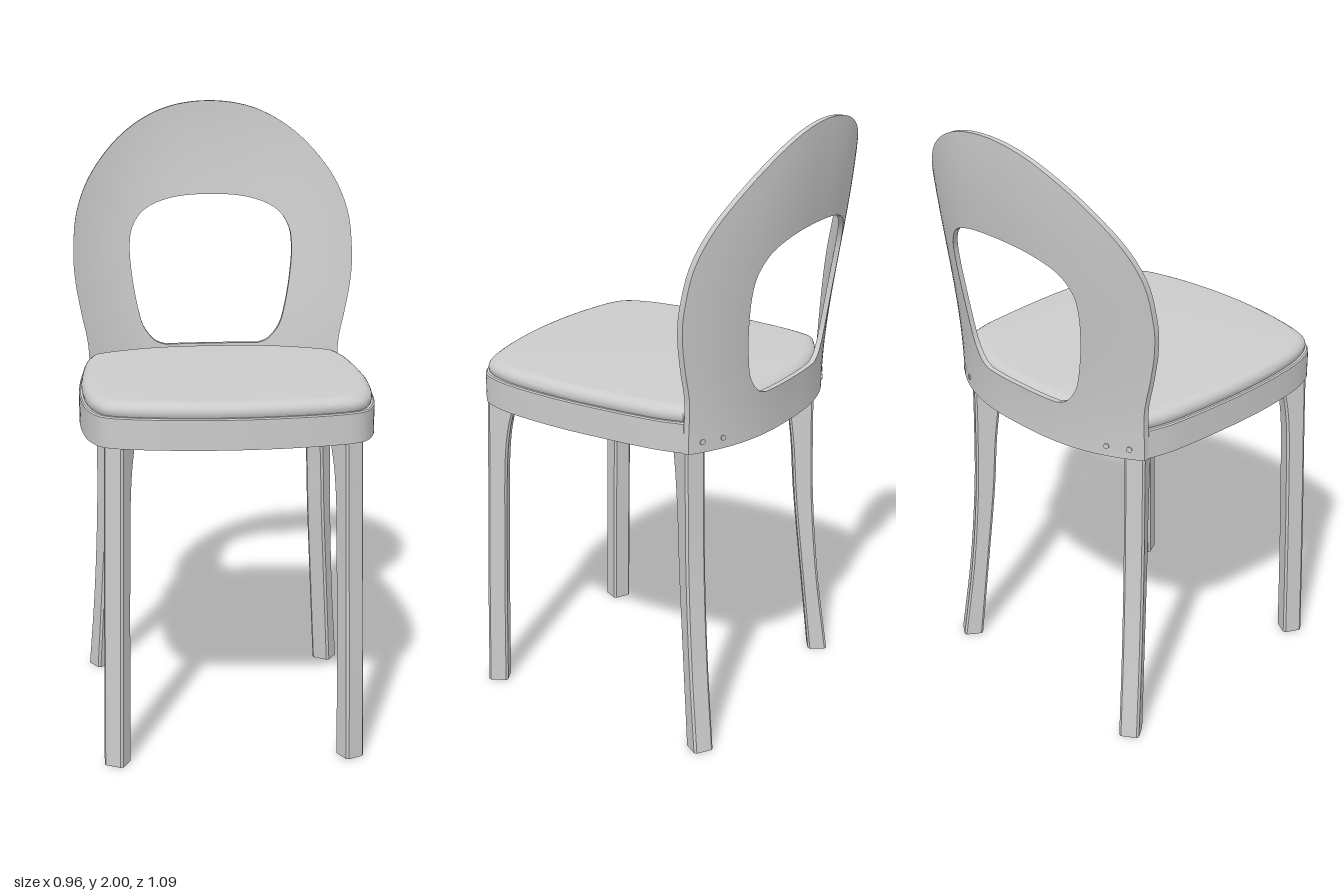
import * as THREE from 'three';
import { toCreasedNormals } from 'three/addons/utils/BufferGeometryUtils.js';

const grey = new THREE.MeshStandardMaterial({ color: 0xcccccc });
const V2 = (p) => new THREE.Vector2(p[0], p[1]);

// Skin a list of equal closed rings; either cap both ends or join last ring to first
function loft(rings, joinEnds, crease) {
  const n = rings[0].length, m = rings.length, pos = [], tris = [];
  rings.forEach((r) => r.forEach((p) => pos.push(p.x, p.y, p.z)));
  for (let i = 0; i < (joinEnds ? m : m - 1); i++) {
    for (let j = 0; j < n; j++) {
      const k = (j + 1) % n, a = i * n, b = ((i + 1) % m) * n;
      tris.push([a + j, b + j, b + k], [a + j, b + k, a + k]);
    }
  }
  if (!joinEnds) {
    [0, m - 1].forEach((i) => {
      const c = new THREE.Vector3();
      rings[i].forEach((p) => c.addScaledVector(p, 1 / n));
      const id = pos.length / 3;
      pos.push(c.x, c.y, c.z);
      for (let j = 0; j < n; j++) {
        const a = i * n + j, b = i * n + ((j + 1) % n);
        tris.push(i ? [a, id, b] : [a, b, id]);
      }
    });
  }
  // signed volume tells whether the faces point outward
  const at = (i) => new THREE.Vector3().fromArray(pos, i * 3);
  let volume = 0;
  tris.forEach(([a, b, c]) => { volume += at(a).dot(at(b).cross(at(c))); });
  if (volume < 0) tris.forEach((t) => t.reverse());
  const g = new THREE.BufferGeometry();
  g.setAttribute('position', new THREE.Float32BufferAttribute(pos, 3));
  g.setIndex(tris.flat());
  return toCreasedNormals(g, crease);
}

function add(group, name, geometry) {
  const mesh = new THREE.Mesh(geometry, grey);
  mesh.name = name;
  group.add(mesh);
  return mesh;
}

// Spline through a half profile and its mirror image, then straight back along the base
function mirroredLoop(half, base, nSide, nBase) {
  const other = half.slice(0, -1).reverse().map(([x, y]) => [-x, y]);
  const side = new THREE.SplineCurve([...half, ...other].map(V2)).getPoints(nSide);
  const x0 = half[0][0];
  for (let i = 1; i < nBase; i++) {
    const x = -x0 + (2 * x0 * i) / nBase;
    side.push(new THREE.Vector2(x, base(x)));
  }
  return side;
}

// Plan curve shared by the backrest and the rear of the seat
const wrap = (x) => 0.14 * Math.pow(Math.abs(x) / 0.46, 2.6);
const backZ = (x, y) => -0.437 - 0.108 * THREE.MathUtils.smoothstep(y, 1.02, 2) + wrap(x);

// Seat layer: plan outline inset at each level, tilted slightly up to the front
function seatLayer(levels) {
  const outline = mirroredLoop(
    [[0.43, -0.302], [0.453, -0.2], [0.467, 0], [0.469, 0.15], [0.458, 0.3], [0.437, 0.4],
      [0.395, 0.473], [0.3, 0.508], [0.15, 0.532], [0, 0.54]],
    (x) => -0.42 + wrap(x), 100, 36);
  return loft(levels.map(([inset, y]) => outline.map((p) => {
    const s = 1 - inset / 0.47;
    return new THREE.Vector3(p.x * s, y + 0.0156 * (p.y * s + 0.42), 0.05 + (p.y - 0.05) * s);
  })), false, 0.6);
}

// Curved shell between its outer outline and the opening
function backrest() {
  const outer = mirroredLoop(
    [[0.43, 1.02], [0.433, 1.18], [0.455, 1.3], [0.472, 1.4], [0.478, 1.5], [0.465, 1.64],
      [0.41, 1.77], [0.3, 1.895], [0.16, 1.975], [0, 2]],
    () => 1.02, 108, 28);
  const inner = mirroredLoop(
    [[0.16, 1.163], [0.2, 1.18], [0.238, 1.23], [0.258, 1.3], [0.275, 1.4], [0.283, 1.5],
      [0.272, 1.575], [0.225, 1.635], [0.13, 1.67], [0, 1.68]],
    () => 1.163, 108, 28);
  const steps = 8, rings = [];
  for (const front of [true, false]) {
    for (let k = 0; k <= steps; k++) {
      const t = front ? k / steps : 1 - k / steps;
      rings.push(outer.map((p, i) => {
        const q = inner[i].clone().lerp(p, t);
        return new THREE.Vector3(q.x, q.y, backZ(q.x, q.y) + (front ? 0.018 : 0));
      }));
    }
  }
  return loft(rings, true, 0.6);
}

// Leg: chamfered rectangle swept up a profile of [height, outer offset, inner offset]
function leg(x, z, dx, dz, profile) {
  const out = new THREE.Vector3(dx, 0, dz).normalize();
  const across = new THREE.Vector3(-out.z, 0, out.x);
  const w = 0.033, c = 0.007;
  const path = new THREE.CatmullRomCurve3(profile.map(([y, o, i]) => new THREE.Vector3(o, y, i)));
  return loft(path.getPoints(28).map(({ x: o, y, z: i }) => (
    [[o, w - c], [o - c, w], [i + c, w], [i, w - c], [i, c - w], [i + c, -w], [o - c, -w], [o, c - w]]
      .map(([u, v]) => new THREE.Vector3(x, y, z).addScaledVector(out, u).addScaledVector(across, v))
  )), false, 0.6);
}

export function createModel() {
  const chair = new THREE.Group();
  chair.name = 'chair';

  add(chair, 'seatFrame', seatLayer([[0, 1.02], [0, 1.114], [0.004, 1.118], [0.02, 1.118]]));

  // Cushion with a rounded upper edge
  const cushion = [[0.016, 1.112], [0.01, 1.12]];
  for (let i = 0; i <= 6; i++) {
    const a = (i / 6) * Math.PI / 2;
    cushion.push([0.008 + 0.035 * (1 - Math.cos(a)), 1.133 + 0.03 * Math.sin(a)]);
  }
  cushion.push([0.12, 1.165]);
  add(chair, 'seatCushion', seatLayer(cushion));

  add(chair, 'backrest', backrest());

  const frontProfile = [[0, 0.033, -0.033], [0.3, 0.025, -0.04], [0.6, 0.015, -0.049],
    [0.85, 0.006, -0.06], [0.95, 0.003, -0.074], [1.045, 0, -0.1]];
  const backProfile = [[0, 0.033, -0.033], [0.3, -0.007, -0.065], [0.6, -0.031, -0.096],
    [0.8, -0.037, -0.11], [0.95, -0.039, -0.13], [1.04, -0.04, -0.15]];

  for (const s of [1, -1]) {
    const side = s > 0 ? 'Left' : 'Right';
    add(chair, 'frontLeg' + side, leg(s * 0.372, 0.48, s * 0.45, 0.89, frontProfile));
    add(chair, 'backLeg' + side, leg(s * 0.407, -0.352, s * 0.55, -0.83, backProfile));

    // Screw heads fixing the backrest to the frame
    for (const x of [0.326, 0.391]) {
      const screw = add(chair, 'screw' + side, new THREE.CylinderGeometry(0.009, 0.009, 0.008, 16));
      const slope = (backZ(x + 0.001, 1.055) - backZ(x - 0.001, 1.055)) / 0.002;
      screw.position.set(s * x, 1.055, backZ(x, 1.055));
      screw.quaternion.setFromUnitVectors(
        new THREE.Vector3(0, 1, 0), new THREE.Vector3(s * slope, 0, -1).normalize());
    }
  }
  return chair;
}
